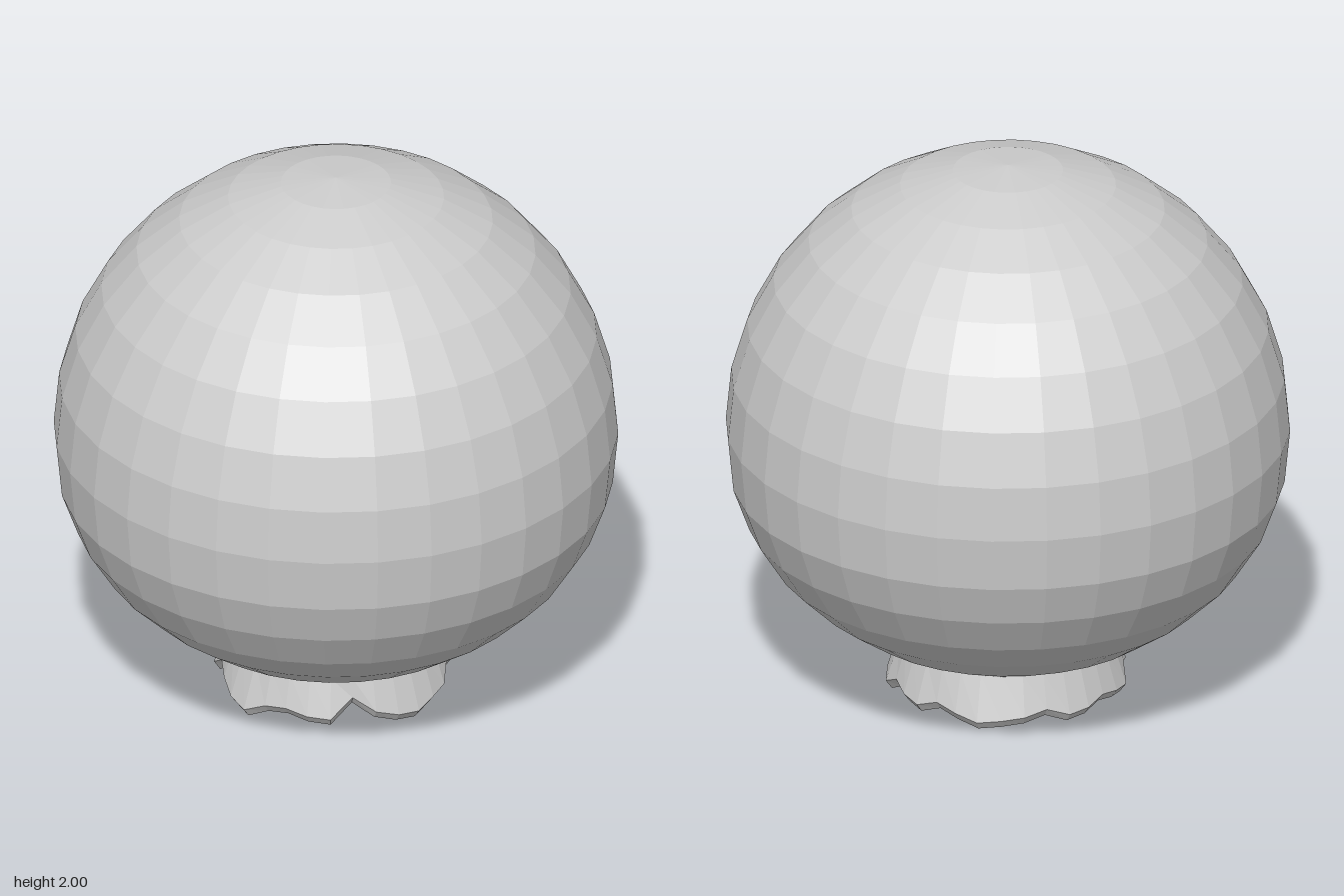
import * as THREE from 'three';

const SEGMENTS = 32;
const material = new THREE.MeshStandardMaterial({ color: 0xcccccc, flatShading: true });

// Height of the wavy hem every 11.25 degrees, from +z round through +x
const HEM = [
  0.05, 0.035, 0.03, 0.1, 0.045, 0.02, 0.01, 0.03,
  0.04, 0.085, 0.06, 0.03, 0.01, 0.05, 0.03, 0.02,
  0.05, 0.03, 0.01, 0.02, 0.03, 0.05, 0.02, 0.025,
  0.045, 0.03, 0.02, 0.07, 0.045, 0.015, 0, 0.04,
];

// Round body: a faceted ball, squashed a little below the middle and open at the neck
function createBody() {
  const lower = [0.2, 0.28, 0.385, 0.505, 0.65, 0.805];
  const points = [];
  for (let i = -6; i <= 8; i++) {
    const a = (i * Math.PI) / 16;
    const y = i < 0 ? lower[i + 6] : 1 + Math.sin(a);
    points.push(new THREE.Vector2(i === 8 ? 0 : 0.99 * Math.cos(a), y));
  }
  const body = new THREE.Mesh(new THREE.LatheGeometry(points, SEGMENTS), material);
  body.name = 'body';
  return body;
}

// Flared neck with a scalloped, thick hem and a pleated hollow underneath
function createNeck() {
  const profile = Array.from({ length: 5 }, () => new THREE.Vector2(0.4, 0));
  const geometry = new THREE.LatheGeometry(profile, SEGMENTS);
  const position = geometry.attributes.position;
  for (let i = 0; i <= SEGMENTS; i++) {
    const hem = HEM[i % SEGMENTS];
    const radius = 0.437 - 0.45 * hem;
    const angle = (i / SEGMENTS) * Math.PI * 2;
    const section = [
      [0, 0.25],
      [radius - 0.05, hem + 0.02],
      [radius - 0.022, hem],
      [radius, hem + 0.03],
      [0.38, 0.202],
    ];
    section.forEach(([r, y], j) => {
      position.setXYZ(i * 5 + j, r * Math.sin(angle), y, r * Math.cos(angle));
    });
  }
  geometry.computeVertexNormals();
  const neck = new THREE.Mesh(geometry, material);
  neck.name = 'neckFrill';
  return neck;
}

export function createModel() {
  const group = new THREE.Group();
  group.name = 'balloon';
  group.add(createBody(), createNeck());
  return group;
}
